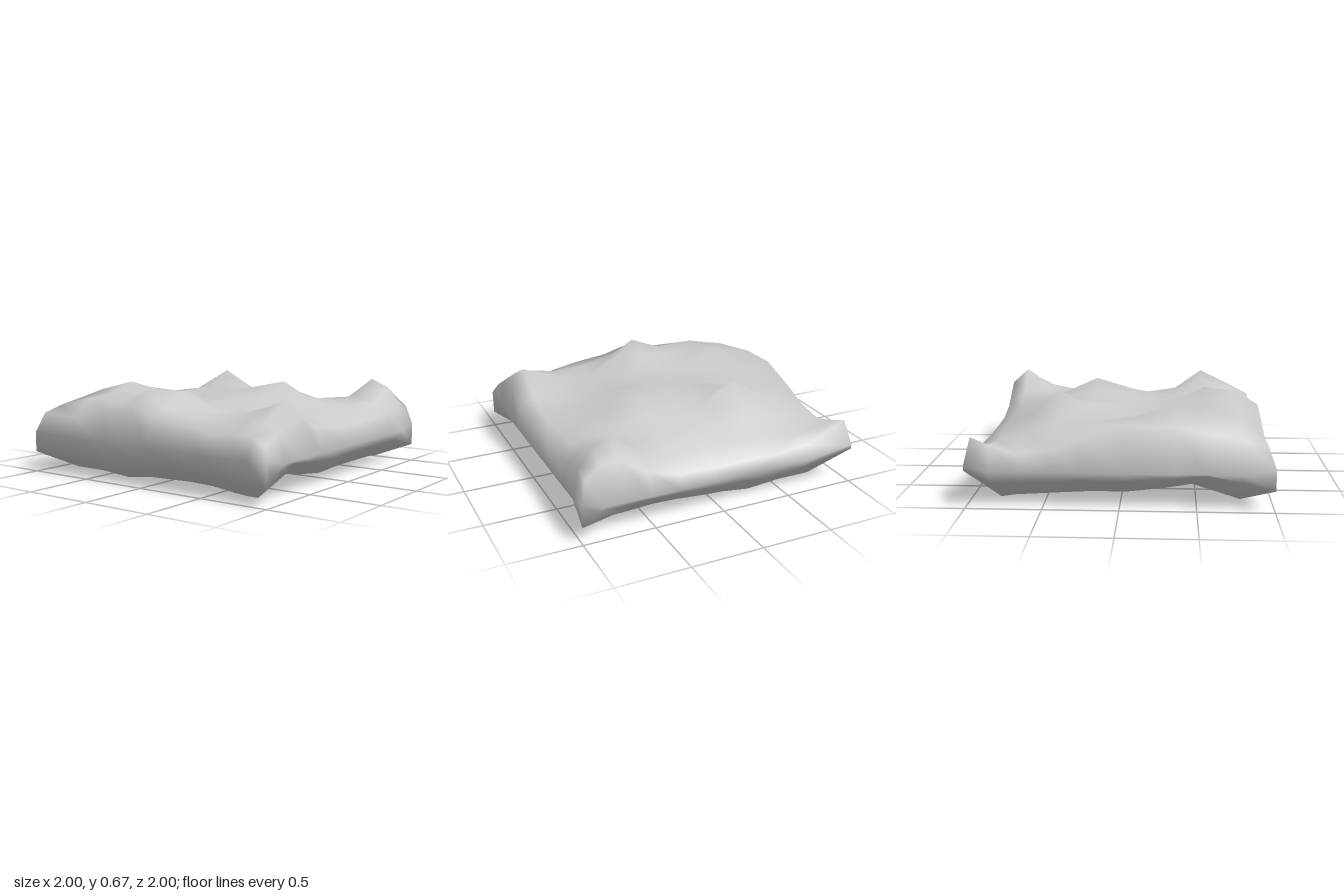
import * as THREE from 'three';

// Grid lines, placed so that they pass through the mounds and hollows
const XS = [-0.95, -0.8, -0.57, -0.36, -0.05, 0.24, 0.45, 0.65, 0.84, 0.96];
const ZS = [-0.95, -0.65, -0.36, -0.12, 0.06, 0.32, 0.53, 0.73, 0.86, 0.96];
const N = XS.length, L = N - 1;

// Ground heights in hundredths: one row per z line, back to front
const TOP = [
  [43, 47, 51, 55, 56, 47, 39, 36, 42, 47],
  [42, 54, 56, 62.5, 54, 50, 51, 45, 37, 34],
  [49, 53, 56, 50, 49, 56, 67, 49, 40, 32],
  [53, 62.5, 57, 53, 53, 55, 55, 49, 40, 32],
  [48, 52, 62, 52, 55, 58, 54, 48, 40, 32],
  [45, 47, 49, 50, 55, 63.5, 54, 47, 41, 33],
  [41, 46, 50, 48, 49, 51, 49, 47, 48, 39],
  [42, 50, 56, 46, 44, 47, 47, 50, 63, 52],
  [42, 50, 61, 46, 41, 42, 43, 48, 58, 51],
  [37, 44, 52, 42, 38, 38, 39, 41, 46, 43],
];

// Underside: a rise across x, a small one across z, and a lifted front corner
const UNDER_X = [0.01, 0.05, 0.11, 0.08, 0.05, 0.05, 0.04, 0.03, 0.02, 0.005];
const UNDER_Z = [0.02, 0.02, 0, 0.025, 0.03, 0.035, 0.03, 0.01, 0, 0];
const INSET = 0.83;
const underY = (i, j) =>
  UNDER_X[i] + UNDER_Z[j] + 0.05 * Math.max(0, XS[i]) * Math.max(0, ZS[j]);

// Lowest heights of the four upright corners, [back, front] for each side
const CORNER_Y = { left: [0.15, 0.12], right: [0.26, 0.13] };
// Height of the widest line of each side wall
const BULGE_Y = { left: 0.28, front: 0.25, right: 0.24, back: 0.25 };

function buildTile() {
  const pos = [], index = [];
  const add = (x, y, z) => pos.push(x, y, z) / 3 - 1;
  const quad = (a, b, c, d, flip = false) =>
    flip ? index.push(a, b, d, b, c, d) : index.push(a, b, c, a, c, d);
  const grid = (f) => ZS.map((z, j) => XS.map((x, i) => add(...f(x, z, i, j))));

  const top = grid((x, z, i, j) => [x, TOP[j][i] / 100, z]);
  const under = grid((x, z, i, j) => [x * INSET, underY(i, j), z * INSET]);

  for (let j = 0; j < L; j++) {
    for (let i = 0; i < L; i++) {
      // split each cell along the diagonal with the smaller height change
      const flip = Math.abs(TOP[j][i] - TOP[j + 1][i + 1]) > Math.abs(TOP[j + 1][i] - TOP[j][i + 1]);
      quad(top[j][i], top[j + 1][i], top[j + 1][i + 1], top[j][i + 1], flip);
      quad(under[j][i], under[j][i + 1], under[j + 1][i + 1], under[j + 1][i]);
    }
  }

  // Outline of the grid as [i, j]: left, front, right, back
  const rim = [];
  for (let k = 0; k < L; k++) rim.push([0, k]);
  for (let k = 0; k < L; k++) rim.push([k, L]);
  for (let k = 0; k < L; k++) rim.push([L, L - k]);
  for (let k = 0; k < L; k++) rim.push([L - k, 0]);

  // Side walls: widest half way up, then tapering under; the corners stay
  // upright and hang lower than the walls between them
  const isCorner = (i, j) => i % L === 0 && j % L === 0;
  const wall = (out, height) => rim.map(([i, j]) => {
    const reach = isCorner(i, j) ? 1 : out;
    const edge = (v, k) => (k === 0 ? -reach : k === L ? reach : v[k]);
    return add(edge(XS, i), height(i, j), edge(ZS, j));
  });
  const side = (i, j) => (i === 0 ? 'left' : i === L ? 'right' : j === 0 ? 'back' : 'front');
  const rings = [
    rim.map(([i, j]) => top[j][i]),
    wall(1, (i, j) => (isCorner(i, j) ? 0.29 : BULGE_Y[side(i, j)])),
    wall(0.92, (i, j) => (isCorner(i, j) ? CORNER_Y[side(i, j)][j / L] : 0.13 + 0.7 * underY(i, j))),
    rim.map(([i, j]) => under[j][i]),
  ];
  for (let r = 0; r < rings.length - 1; r++) {
    rim.forEach((_, k) => {
      const n = (k + 1) % rim.length;
      quad(rings[r][k], rings[r + 1][k], rings[r + 1][n], rings[r][n]);
    });
  }

  const g = new THREE.BufferGeometry();
  g.setAttribute('position', new THREE.Float32BufferAttribute(pos, 3));
  g.setIndex(index);
  g.computeVertexNormals();
  return g;
}

export function createModel() {
  const group = new THREE.Group();
  group.name = 'groundTile';
  const ground = new THREE.Mesh(buildTile(), new THREE.MeshStandardMaterial({ color: 0xcccccc }));
  ground.name = 'lumpyGround';
  group.add(ground);
  // rest the lowest point on the floor
  ground.geometry.computeBoundingBox();
  ground.position.y = -ground.geometry.boundingBox.min.y;
  return group;
}
